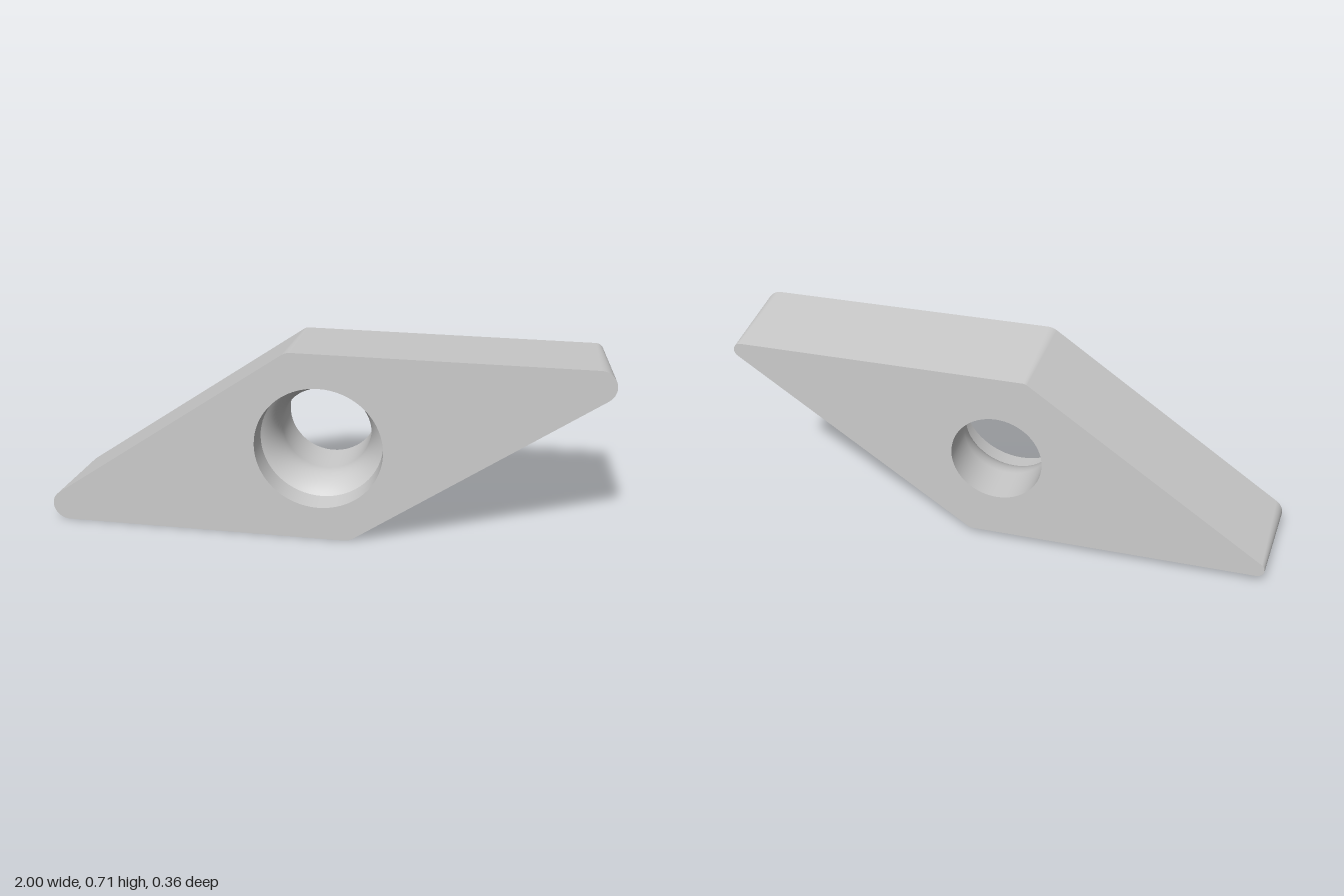
import * as THREE from 'three';

const DEG = Math.PI / 180;
const ACUTE = 35 * DEG, RELIEF = 5 * DEG;
const HALF = 0.1785;                      // half thickness
const R_FRONT = 0.059;                    // nose radius on the front face
const R_BACK = R_FRONT - 2 * HALF * Math.tan(RELIEF);
const SIDE = 2 * (1 - R_FRONT) / (1 + Math.cos(ACUTE)); // side of the core rhombus
const H = SIDE * Math.sin(ACUTE) / 2;
const MID_Y = H + R_FRONT;
const TIP = 1 - R_FRONT, BLUNT = TIP - SIDE;

// Corner centres of the rhombus with the normal angles each rounding sweeps
const corners = [
  [TIP, H, -55, 90], [BLUNT, H, 90, 125],
  [-TIP, -H, 125, 270], [-BLUNT, -H, 270, 305],
];
const outline = [];
for (const [x, y, from, to] of corners) {
  const n = Math.ceil((to - from) / 5);
  for (let i = 0; i <= n; i++) {
    const a = (from + (to - from) * i / n) * DEG;
    outline.push({ x, y, nx: Math.cos(a), ny: Math.sin(a) });
  }
}

// Tapered side wall lofted between front and back outlines
function wallGeometry() {
  const pos = [], nor = [], idx = [];
  const c = Math.cos(RELIEF), s = Math.sin(RELIEF), n = outline.length;
  outline.forEach((p, i) => {
    for (const [r, z] of [[R_FRONT, HALF], [R_BACK, -HALF]]) {
      pos.push(p.x + r * p.nx, p.y + r * p.ny, z);
      nor.push(c * p.nx, c * p.ny, -s);
    }
    const a = 2 * i, b = 2 * ((i + 1) % n);
    idx.push(a, a + 1, b, b, a + 1, b + 1);
  });
  const g = new THREE.BufferGeometry();
  g.setAttribute('position', new THREE.Float32BufferAttribute(pos, 3));
  g.setAttribute('normal', new THREE.Float32BufferAttribute(nor, 3));
  g.setIndex(idx);
  return g;
}

// Flat face with a round hole
function faceGeometry(r, holeRadius) {
  const shape = new THREE.Shape(outline.map(p => new THREE.Vector2(p.x + r * p.nx, p.y + r * p.ny)));
  shape.holes.push(new THREE.Path().absarc(0, 0, holeRadius, 0, Math.PI * 2, true));
  return new THREE.ShapeGeometry(shape, 32);
}

// Surface of revolution about z; points are [radius, z] from front to back
function boreGeometry(points) {
  return new THREE.LatheGeometry(points.map(p => new THREE.Vector2(...p)), 64).rotateX(Math.PI / 2);
}

export function createModel() {
  const group = new THREE.Group();
  group.name = 'rhombicInsert';
  const material = new THREE.MeshStandardMaterial({ color: 0xcccccc });
  const add = (name, geometry) => {
    const mesh = new THREE.Mesh(geometry, material);
    mesh.name = name;
    mesh.position.y = MID_Y;
    group.add(mesh);
    return mesh;
  };

  add('sideWall', wallGeometry());

  const RIM = 0.23, SEAT = 0.222, THROAT = 0.165, SEAT_Z = 0.1;
  add('frontFace', faceGeometry(R_FRONT, RIM)).position.z = HALF;
  const back = faceGeometry(R_BACK, THROAT).rotateY(Math.PI); // the outline is mirrored by the turn,
  back.rotateZ(Math.PI);                                      // so restore it below
  back.scale(1, -1, 1);
  flip(back);
  add('backFace', back).position.z = -HALF;

  // Screw hole: steep rim, curved seat running into a straight throat
  add('holeRim', boreGeometry([[RIM, HALF], [SEAT, SEAT_Z]]));
  const arcR = 0.16, start = Math.acos(1 - (SEAT - THROAT) / arcR);
  const throatZ = SEAT_Z - arcR * Math.sin(start);
  const seat = [];
  for (let i = 0; i <= 12; i++) {
    const a = start * (1 - i / 12);
    seat.push([THROAT + arcR * (1 - Math.cos(a)), throatZ + arcR * Math.sin(a)]);
  }
  add('screwSeat', boreGeometry([...seat, [THROAT, -HALF]]));
  return group;
}

// Reverse the winding after a mirror
function flip(g) {
  const a = g.index.array;
  for (let i = 0; i < a.length; i += 3) [a[i], a[i + 1]] = [a[i + 1], a[i]];
}
